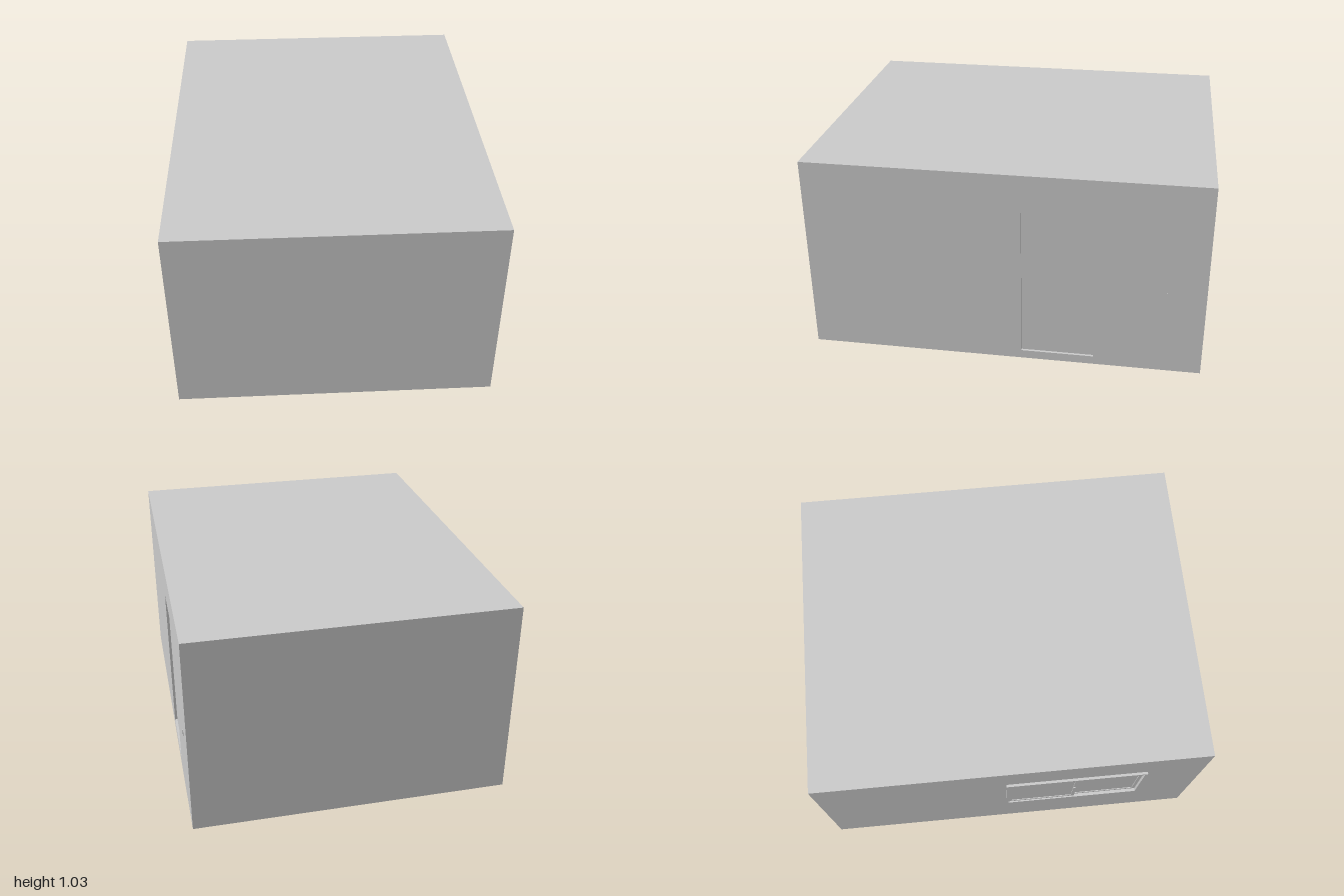
import * as THREE from 'three';

const grey = new THREE.MeshStandardMaterial({ color: 0xcccccc });
const wood = new THREE.MeshStandardMaterial({ color: 0x8b7560 });

// Room extents
const X0 = -0.8, X1 = 0.808, H = 1.03, T = 0.015;
const door = { z0: -0.46, z1: -0.09, y0: 0.045, y1: 0.835 };
const win = { z0: -0.03, z1: 0.7, y0: 0.39, y1: 0.81 };

// Box given by its minimum and maximum on each axis
function box(name, x0, x1, y0, y1, z0, z1, material = grey) {
  const mesh = new THREE.Mesh(new THREE.BoxGeometry(x1 - x0, y1 - y0, z1 - z0), material);
  mesh.position.set((x0 + x1) / 2, (y0 + y1) / 2, (z0 + z1) / 2);
  mesh.name = name;
  return mesh;
}

function rectangle(Type, r, inset = 0) {
  const a = r.z0 + inset, b = r.z1 - inset, c = r.y0 + inset, d = r.y1 - inset;
  return new Type([[a, c], [b, c], [b, d], [a, d]].map(p => new THREE.Vector2(...p)));
}

// Upright panel in the z-y plane with a rectangular opening, from x0 to x1
function panelWithHole(name, outer, hole, inset, x0, x1) {
  const shape = rectangle(THREE.Shape, outer);
  shape.holes.push(rectangle(THREE.Path, hole, inset));
  const geometry = new THREE.ExtrudeGeometry(shape, { depth: x1 - x0, bevelEnabled: false });
  geometry.rotateY(-Math.PI / 2);
  geometry.translate(x1, 0, 0);
  const mesh = new THREE.Mesh(geometry, grey);
  mesh.name = name;
  return mesh;
}

export function createModel() {
  const room = new THREE.Group();
  room.name = 'room';

  // Shell: side walls with openings, end walls, ceiling and floor
  const side = { z0: -1, z1: 1, y0: 0, y1: H - T };
  room.add(
    panelWithHole('doorWall', side, door, 0, X1 - T, X1),
    panelWithHole('windowWall', side, win, 0.01, X0, X0 + T),
    box('frontWall', X0 + T, X1 - T, 0, H - T, 1 - T, 1),
    box('backWall', X0 + T, X1 - T, 0, H - T, -1, -1 + T),
    box('ceiling', X0, X1, H - T, H, -1, 1),
    box('floor', X0 + T, X1 - T, 0.001, 0.02, -1 + T, 1 - T, wood)
  );

  // Door leaf, set back in its opening
  room.add(box('doorLeaf', X1 - 0.03, X1 - 0.013, door.y0, door.y1, door.z0, door.z1));

  // Small switch plate beside the door
  room.add(box('switchPlate', X1 - 0.001, X1 + 0.003, 0.42, 0.455, -0.813, -0.805));

  // Sliding window: outer frame and two sashes on separate tracks
  const window = new THREE.Group();
  window.name = 'window';
  window.add(panelWithHole('windowFrame', win, win, 0.014, -0.813, X0 + T));
  const inner = { z0: win.z0 + 0.014, z1: win.z1 - 0.014, y0: win.y0 + 0.014, y1: win.y1 - 0.014 };
  const middle = (win.z0 + win.z1) / 2;
  [
    { z0: inner.z0, z1: middle + 0.012, x: -0.806 },
    { z0: middle - 0.012, z1: inner.z1, x: -0.797 },
  ].forEach(({ z0, z1, x }) => {
    const sash = { ...inner, z0, z1 };
    window.add(
      panelWithHole('windowSash', sash, sash, 0.018, x, x + 0.009),
      box('windowPane', x + 0.004, x + 0.006, sash.y0 + 0.018, sash.y1 - 0.018, z0 + 0.018, z1 - 0.018)
    );
  });
  window.add(box('windowLatch', -0.811, -0.805, 0.59, 0.625, middle - 0.005, middle + 0.005));
  room.add(window);

  return room;
}
